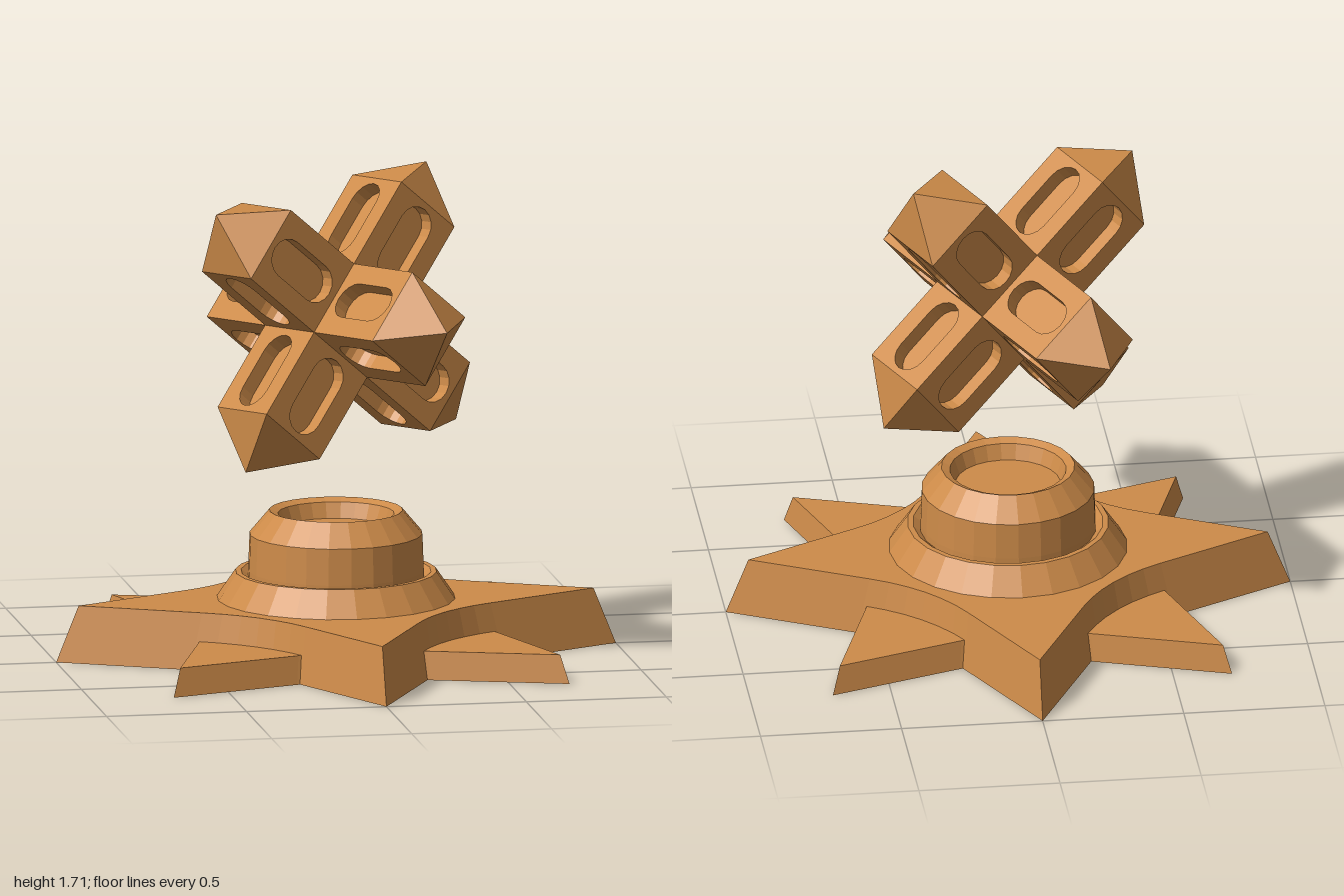
import * as THREE from 'three';

const material = new THREE.MeshStandardMaterial({ color: 0xcd8b49, flatShading: true, side: THREE.DoubleSide });

function mesh(name, geometry, parent) {
  const m = new THREE.Mesh(geometry, material);
  m.name = name;
  parent.add(m);
  return m;
}

// Four-pointed star with rounded inner corners, shrinking towards its top
function starGeometry(height, topScale) {
  const shape = new THREE.Shape();
  const turn = (x, y, k) => {
    const c = Math.round(Math.cos(k * Math.PI / 2)), s = Math.round(Math.sin(k * Math.PI / 2));
    return [x * c - y * s, x * s + y * c];
  };
  shape.moveTo(1, 0);
  for (let k = 0; k < 4; k++) {
    shape.lineTo(...turn(0.56, 0.222, k));
    shape.quadraticCurveTo(...turn(0.335, 0.335, k), ...turn(0.222, 0.56, k));
    shape.lineTo(...turn(0, 1, k));
  }
  const g = new THREE.ExtrudeGeometry(shape, { depth: height, bevelEnabled: false, curveSegments: 6 });
  const p = g.attributes.position;
  for (let i = 0; i < p.count; i++) {
    if (p.getZ(i) > height / 2) p.setXY(i, p.getX(i) * topScale, p.getY(i) * topScale);
  }
  g.rotateX(-Math.PI / 2);
  g.computeVertexNormals();
  return g;
}

// Arm sizes: half width, slot depth, shoulder and apex distance from the centre
const W = 0.145, DEPTH = 0.055, SHOULDER = 0.49, APEX = 0.657;

// Side panel of an arm, with a long round-ended slot cut through it
function panelGeometry(halfWidth) {
  const shape = new THREE.Shape();
  shape.moveTo(-halfWidth, W);
  shape.lineTo(halfWidth, W);
  shape.lineTo(halfWidth, SHOULDER);
  shape.lineTo(-halfWidth, SHOULDER);
  shape.closePath();
  const r = 0.07, slot = new THREE.Path();
  slot.absarc(0, 0.398, r, 0, Math.PI, false);
  slot.absarc(0, 0.242, r, Math.PI, Math.PI * 2, false);
  slot.closePath();
  shape.holes.push(slot);
  const g = new THREE.ExtrudeGeometry(shape, { depth: DEPTH, bevelEnabled: false, curveSegments: 4 });
  g.translate(0, 0, W - DEPTH);
  return g;
}

// One arm along +y: core, four slotted panels and a pyramid tip
function makeArm() {
  const arm = new THREE.Group();
  arm.name = 'arm';
  const inner = W - DEPTH;
  const core = mesh('armCore', new THREE.BoxGeometry(inner * 2, SHOULDER, inner * 2), arm);
  core.position.y = SHOULDER / 2;
  for (let k = 0; k < 4; k++) {
    const panel = mesh('slottedPanel', panelGeometry(k % 2 ? inner : W), arm);
    panel.rotation.y = k * Math.PI / 2;
  }
  const tipGeometry = new THREE.ConeGeometry(W * Math.SQRT2, APEX - SHOULDER, 4);
  tipGeometry.rotateY(Math.PI / 4);
  mesh('armTip', tipGeometry, arm).position.y = (APEX + SHOULDER) / 2;
  return arm;
}

export function createModel() {
  const model = new THREE.Group();
  model.name = 'floatingCrossOnStarBase';

  // Star base: tall points on the axes, low points on the diagonals
  mesh('tallStar', starGeometry(0.2, 0.92), model);
  mesh('lowStar', starGeometry(0.1, 0.96), model).rotation.y = Math.PI / 4;

  // Stepped round pedestal with a shallow dish
  const profile = [
    [0.42, 0.2], [0.355, 0.295], [0.335, 0.295], [0.31, 0.275], [0.31, 0.3], [0.305, 0.43],
    [0.235, 0.513], [0.205, 0.5], [0.185, 0.445], [0, 0.445],
  ].map(([r, y]) => new THREE.Vector2(r, y));
  mesh('pedestal', new THREE.LatheGeometry(profile, 24), model);

  // Six-armed cross, tilted and floating above the dish
  const cross = new THREE.Group();
  cross.name = 'cross';
  const a = new THREE.Vector3(0.29, 0.045, 0.585).normalize();
  const c = new THREE.Vector3(0.36, 0.5, -0.217);
  c.addScaledVector(a, -c.dot(a)).normalize();
  const b = new THREE.Vector3().crossVectors(a, c);
  cross.quaternion.setFromRotationMatrix(new THREE.Matrix4().makeBasis(a, c, b));
  cross.position.y = 1.203;
  for (let k = 0; k < 4; k++) {
    const arm = makeArm();
    arm.rotation.z = k * Math.PI / 2;
    cross.add(arm);
  }
  for (const side of [-1, 1]) {
    const arm = makeArm();
    arm.rotation.x = side * Math.PI / 2;
    cross.add(arm);
  }
  model.add(cross);
  return model;
}
